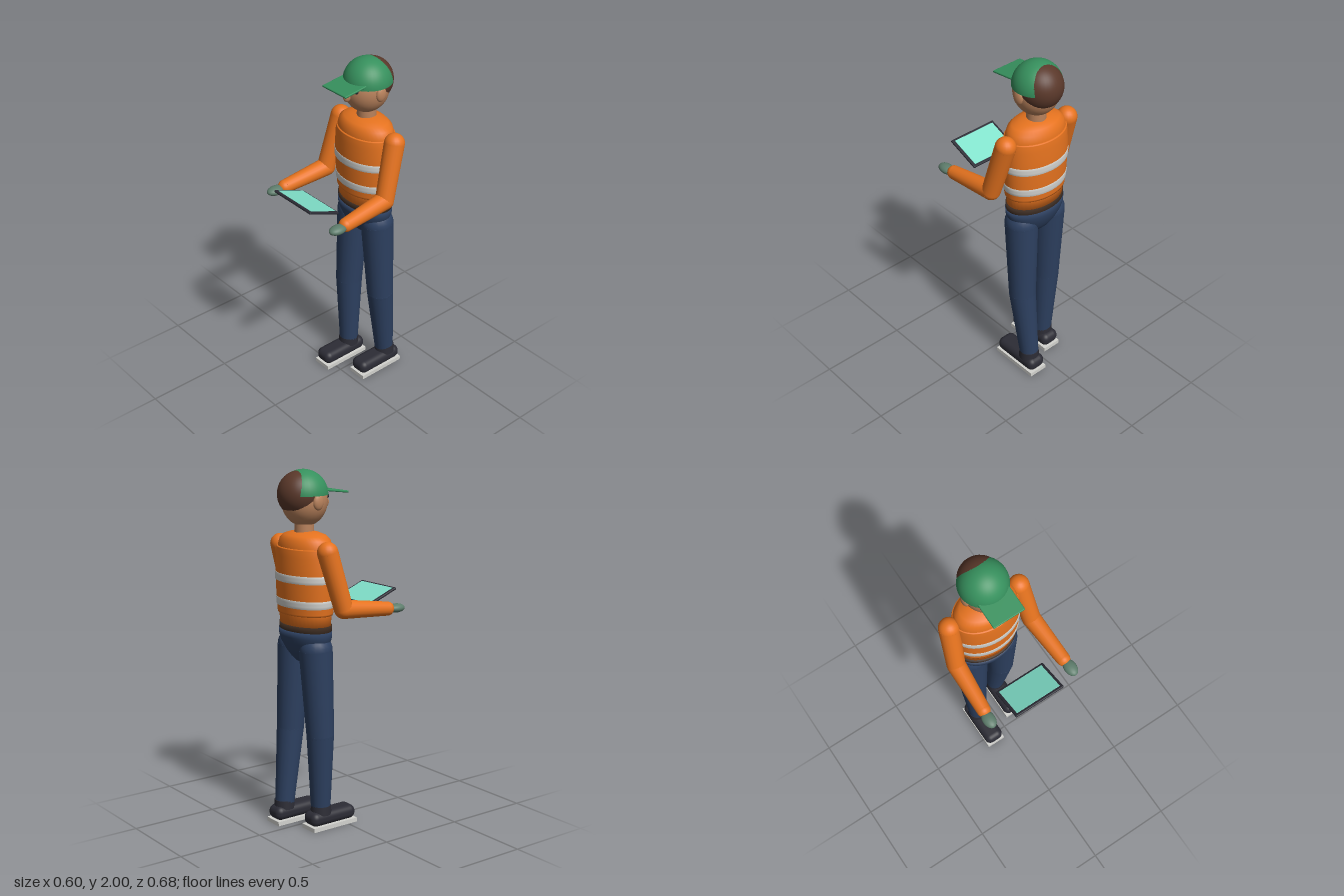
import * as THREE from 'three';
import { RoundedBoxGeometry } from 'three/addons/geometries/RoundedBoxGeometry.js';

const mat = (name, color) => {
  const m = new THREE.MeshStandardMaterial({ color });
  m.name = name;
  return m;
};

export function createModel() {
  const model = new THREE.Group();
  model.name = 'worker';
  const orange = mat('orange cloth', 0xe6731f);
  const silver = mat('light grey', 0xd3d3cf);
  const denim = mat('navy denim', 0x2d4060);
  const skin = mat('skin', 0xb9825c);
  const brown = mat('brown hair', 0x5a382a);
  const green = mat('green cap', 0x36905d);
  const glove = mat('grey green glove', 0x5e7d6c);
  const dark = mat('charcoal', 0x2c2c35);
  const mint = mat('mint screen', 0x82e2cc);
  const leather = mat('dark leather', 0x3b2b21);
  const BODY_Z = -0.18;

  const add = (name, geo, material, pos = [0, 0, 0], parent = model) => {
    const mesh = new THREE.Mesh(geo, material);
    mesh.name = name;
    mesh.position.set(...pos);
    parent.add(mesh);
    return mesh;
  };
  const ellipsoid = (name, material, pos, radii, parent) => {
    const mesh = add(name, new THREE.SphereGeometry(1, 32, 20), material, pos, parent);
    mesh.scale.set(...radii);
    return mesh;
  };
  // Oval body section: profile of [radius, y] from bottom to top
  const oval = (name, material, profile, depth) => {
    const pts = profile.map(([r, y]) => new THREE.Vector2(r, y));
    const mesh = add(name, new THREE.LatheGeometry(pts, 40), material, [0, 0, BODY_Z]);
    mesh.scale.z = depth;
    return mesh;
  };
  // Tapered limb through joints given as [x, y, z, radius]
  const limb = (name, material, joints, parent) => {
    const group = new THREE.Group();
    group.name = name;
    parent.add(group);
    joints.forEach(([x, y, z, r], i) => {
      add(name + 'Joint', new THREE.SphereGeometry(r, 20, 14), material, [x, y, z], group);
      if (!i) return;
      const a = new THREE.Vector3(...joints[i - 1].slice(0, 3));
      const b = new THREE.Vector3(x, y, z);
      const dir = b.clone().sub(a);
      const geo = new THREE.CylinderGeometry(r, joints[i - 1][3], dir.length(), 20);
      const part = add(name + 'Segment', geo, material, a.clone().add(b).multiplyScalar(0.5).toArray(), group);
      part.quaternion.setFromUnitVectors(new THREE.Vector3(0, 1, 0), dir.normalize());
    });
  };

  // Torso, vest, belt and hips
  oval('torso', orange, [
    [0, 1.15], [0.175, 1.15], [0.178, 1.23], [0.19, 1.45], [0.188, 1.56],
    [0.184, 1.595], [0.172, 1.63], [0.145, 1.651], [0.1, 1.664], [0.05, 1.672], [0, 1.673],
  ], 0.67);
  const vestCurve = new THREE.SplineCurve([[0.187, 1.225], [0.195, 1.32], [0.2, 1.44], [0.196, 1.54], [0.19, 1.585]]
    .map((p) => new THREE.Vector2(...p)));
  const vestPoints = vestCurve.getPoints(24).map((p) => [p.x, p.y]);
  oval('vest', orange, [[0.17, 1.225], ...vestPoints, [0.178, 1.587]], 0.69);
  const vestRadius = (y) => {
    const i = vestPoints.findIndex((p) => p[1] >= y);
    const [r0, y0] = vestPoints[i - 1], [r1, y1] = vestPoints[i];
    return r0 + (r1 - r0) * (y - y0) / (y1 - y0);
  };
  for (const y of [1.267, 1.403]) {
    const band = [0, 0.0145, 0.029, 0.043].map((d) => [vestRadius(y + d) + 0.003, y + d]);
    oval('reflectiveBand', silver, [[band[0][0] - 0.005, y], ...band, [band[3][0] - 0.005, y + 0.043]], 0.695);
  }
  oval('belt', leather, [[0.17, 1.13], [0.183, 1.132], [0.183, 1.166], [0, 1.168]], 0.65);
  oval('hips', denim, [
    [0, 0.938], [0.035, 0.942], [0.07, 0.955], [0.11, 0.983], [0.145, 1.02],
    [0.172, 1.065], [0.184, 1.1], [0.185, 1.134], [0, 1.134],
  ], 0.655);

  // Legs and shoes, the right foot stepping forward
  for (const [side, kneeZ, ankleZ, toeZ] of [[1, -0.208, -0.26, -0.04], [-1, -0.162, -0.152, 0.06]]) {
    const leg = new THREE.Group();
    leg.name = side > 0 ? 'leftLeg' : 'rightLeg';
    model.add(leg);
    limb('trouserLeg', denim, [
      [side * 0.1, 1.03, -0.184, 0.093], [side * 0.111, 0.55, kneeZ, 0.077], [side * 0.1, 0.1, ankleZ, 0.054],
    ], leg);
    const x = side * 0.102;
    add('sole', new THREE.BoxGeometry(0.115, 0.024, 0.3), silver, [x, 0.012, toeZ - 0.15], leg);
    add('shoe', new RoundedBoxGeometry(0.116, 0.08, 0.3, 5, 0.036), dark, [x, 0.062, toeZ - 0.15], leg);
    add('shoeCollar', new THREE.CylinderGeometry(0.056, 0.06, 0.05, 24), dark, [x, 0.108, ankleZ], leg);
  }

  // Arms bent forward, with gloved hands
  for (const side of [1, -1]) {
    const arm = new THREE.Group();
    arm.name = side > 0 ? 'leftArm' : 'rightArm';
    model.add(arm);
    limb('sleeve', orange, [
      [side * 0.218, 1.578, -0.19, 0.057], [side * 0.244, 1.268, -0.103, 0.052], [side * 0.259, 1.24, 0.185, 0.039],
    ], arm);
    ellipsoid('hand', glove, [side * 0.264, 1.237, 0.245], [0.036, 0.025, 0.054], arm);
  }

  // Neck, head and face
  add('neck', new THREE.CylinderGeometry(0.052, 0.054, 0.12, 28), skin, [0, 1.69, -0.185]);
  ellipsoid('head', skin, [0, 1.832, -0.182], [0.121, 0.137, 0.128]);
  ellipsoid('nose', skin, [0, 1.817, -0.045], [0.018, 0.03, 0.023]);
  for (const side of [1, -1]) {
    ellipsoid('ear', skin, [side * 0.12, 1.832, -0.178], [0.018, 0.042, 0.032]);
    ellipsoid('eye', dark, [side * 0.048, 1.856, -0.068], [0.014, 0.014, 0.01]);
  }

  // Hair showing behind the cap
  const hair = add('hair', new THREE.SphereGeometry(0.126, 36, 24, 0, Math.PI * 2, 0, 2.26), brown, [0, 1.87, -0.21]);
  hair.scale.x = 0.96;

  // Cap crown and sloping peak
  add('capCrown', new THREE.SphereGeometry(0.135, 36, 16, 0, Math.PI * 2, 0, Math.PI / 2), green, [0, 1.866, -0.19]);
  const peak = add('capPeak', new RoundedBoxGeometry(0.187, 0.012, 0.15, 3, 0.005), green, [0, 1.882, -0.028]);
  peak.rotation.x = 0.12;

  // Tablet tilted towards the face
  const tablet = new THREE.Group();
  tablet.name = 'tablet';
  tablet.position.set(0, 1.281, 0.24);
  tablet.rotation.x = -0.38;
  model.add(tablet);
  add('tabletCase', new RoundedBoxGeometry(0.306, 0.014, 0.213, 3, 0.006), dark, [0, 0, 0], tablet);
  add('tabletScreen', new THREE.BoxGeometry(0.274, 0.004, 0.183), mint, [0, 0.007, 0], tablet);

  return model;
}
